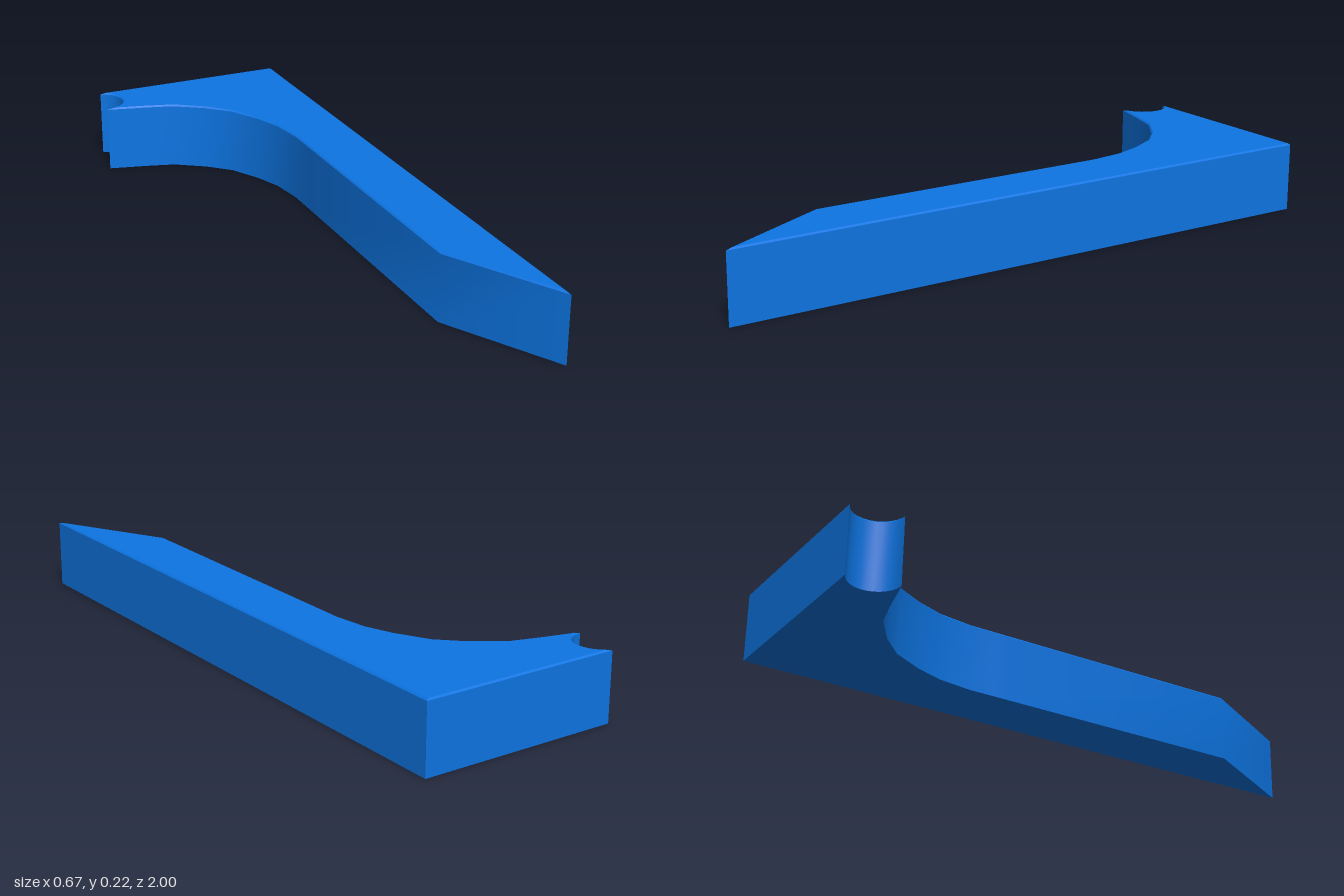
import * as THREE from 'three';
import { toCreasedNormals } from 'three/addons/utils/BufferGeometryUtils.js';

const HEIGHT = 0.22;
const CHAMFER = 0.005;

// Plan outline as (x, z) points, tip -> back corner -> notch -> sweep -> arm
function planOutline() {
  const pts = [[0.335, 1], [0.335, -1]];
  // round notch at the end of the short arm
  const a0 = -1.214, a1 = Math.PI / 2 - 0.02, steps = 12;
  for (let i = 0; i <= steps; i++) {
    const a = a0 + (a1 - a0) * i / steps;
    pts.push([-0.34 + 0.08 * Math.cos(a), -0.925 + 0.08 * Math.sin(a)]);
  }
  // concave sweep into the long arm, then the slanted end
  pts.push([-0.21, -0.812], [-0.124, -0.786], [-0.03, -0.722], [0.04, -0.653],
    [0.093, -0.553], [0.125, -0.463], [0.14, -0.35], [0.14, -0.25], [0.14, 0.63]);
  return pts.map(([x, z]) => new THREE.Vector2(x, z));
}

// Moves every edge inward by d, with mitred corners
function inset(pts, d) {
  const n = pts.length;
  const normal = (p, q) => {
    const e = q.clone().sub(p).normalize();
    return new THREE.Vector2(e.y, -e.x);
  };
  return pts.map((p, i) => {
    const n1 = normal(pts[(i + n - 1) % n], p);
    const n2 = normal(p, pts[(i + 1) % n]);
    return p.clone().addScaledVector(n1.clone().add(n2), d / (1 + n1.dot(n2)));
  });
}

function chamferedSlab(outline) {
  const rings = [
    { pts: outline, y: 0 },
    { pts: outline, y: HEIGHT - CHAMFER },
    { pts: inset(outline, CHAMFER), y: HEIGHT },
  ];
  const n = outline.length;
  const pos = [], index = [];
  for (const { pts, y } of rings) for (const p of pts) pos.push(p.x, y, p.y);
  // walls and top chamfer
  for (let r = 0; r < 2; r++) {
    for (let i = 0; i < n; i++) {
      const j = (i + 1) % n;
      const a = r * n + i, b = r * n + j, c = b + n, d = a + n;
      index.push(a, b, c, a, c, d);
    }
  }
  // top and bottom caps
  const flat = (pts) => pts.map((p) => new THREE.Vector2(p.x, -p.y));
  for (const [a, b, c] of THREE.ShapeUtils.triangulateShape(flat(rings[2].pts), []))
    index.push(a + 2 * n, b + 2 * n, c + 2 * n);
  for (const [a, b, c] of THREE.ShapeUtils.triangulateShape(flat(outline), []))
    index.push(a, c, b);

  const geo = new THREE.BufferGeometry();
  geo.setAttribute('position', new THREE.Float32BufferAttribute(pos, 3));
  geo.setIndex(index);
  return toCreasedNormals(geo, 0.5);
}

export function createModel() {
  const group = new THREE.Group();
  group.name = 'trimBracket';
  const body = new THREE.Mesh(
    chamferedSlab(planOutline()),
    new THREE.MeshStandardMaterial({ color: 0x0d75e3 })
  );
  body.name = 'bracketBody';
  group.add(body);
  return group;
}
